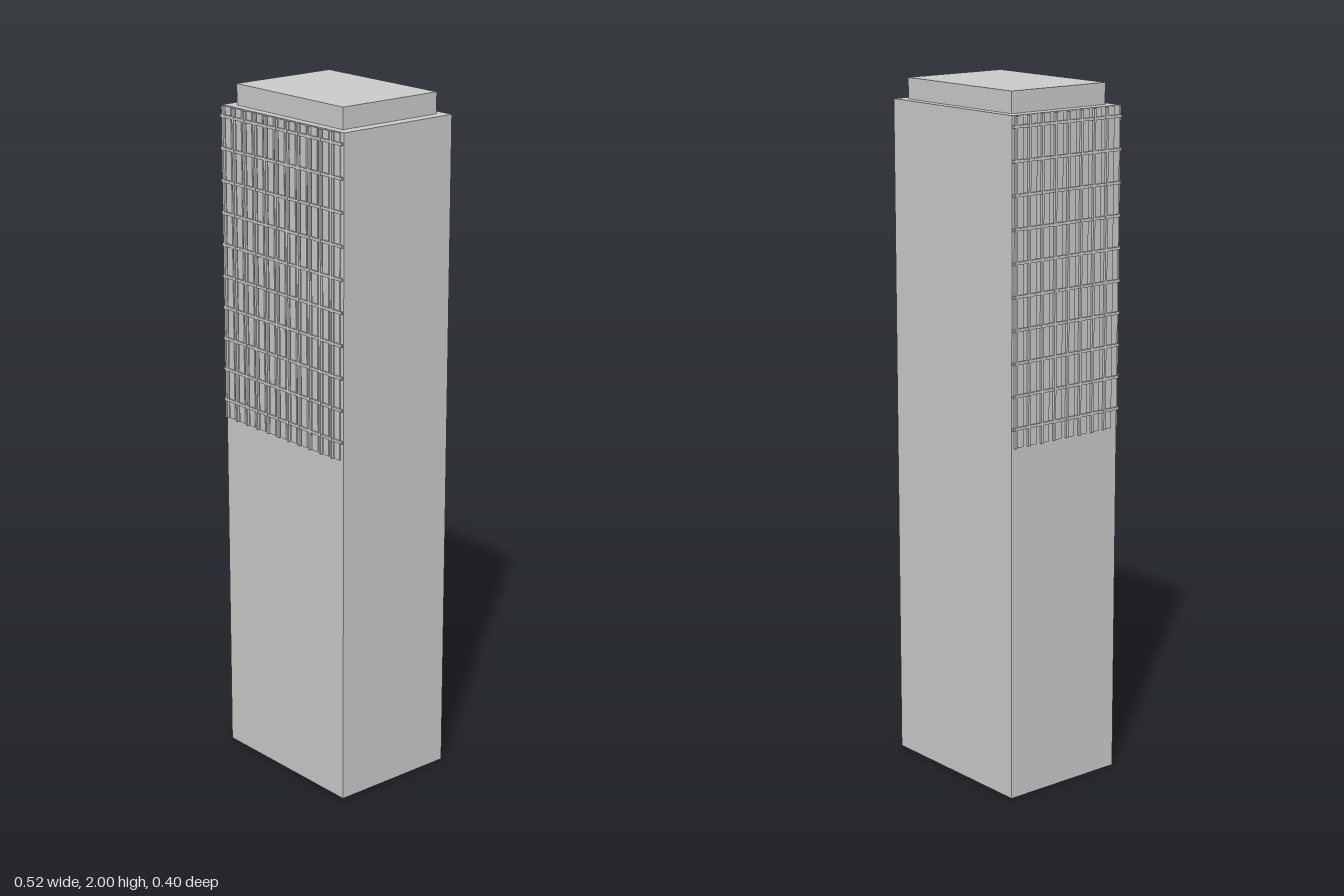
import * as THREE from 'three';

const material = new THREE.MeshStandardMaterial({ color: 0xcccccc, flatShading: true });

// Box given by its minimum and maximum corners
function box(name, min, max) {
  const size = max.map((v, i) => v - min[i]);
  const mesh = new THREE.Mesh(new THREE.BoxGeometry(...size), material);
  mesh.name = name;
  mesh.position.set(...min.map((v, i) => v + size[i] / 2));
  return mesh;
}

const BODY_MIN = [-0.253, 0, -0.2];
const BODY_MAX = [0.262, 1.94, 0.186];
const BOTTOM = 1.03, TOP = 1.938;
const BAY = 0.0462, ROW = 0.0917;

// Facade lattice: starts at local x = 0, and stands out from the wall along +z
function lattice(name, width, fins) {
  const group = new THREE.Group();
  group.name = name;
  for (let i = 0; i < fins; i++) {
    const x = 0.01 + i * BAY;
    group.add(box('verticalFin', [x - 0.0035, BOTTOM, 0.0025], [x + 0.0035, TOP, 0.0095]));
    group.add(box('windowStrip', [x + 0.006, BOTTOM, -0.001], [x + 0.03, TOP, 0.003]));
  }
  for (let j = 0; j < 10; j++) {
    const y = 1.085 + j * ROW;
    group.add(box('horizontalRail', [0, y - 0.004, 0.0035], [width, y + 0.004, 0.0085]));
  }
  return group;
}

export function createModel() {
  const model = new THREE.Group();
  model.name = 'tower';

  // Main shaft and roof block
  model.add(box('towerBody', BODY_MIN, BODY_MAX));
  model.add(box('roofBlock', [-0.22, 1.94, -0.174], [0.229, 2, 0.161]));

  // Front lattice
  const front = lattice('frontLattice', BODY_MAX[0] - BODY_MIN[0], 11);
  front.position.set(BODY_MIN[0], 0, BODY_MAX[2]);
  model.add(front);

  // Side lattice, turned to face -x
  const side = lattice('sideLattice', BODY_MAX[2] - BODY_MIN[2], 8);
  side.rotation.y = -Math.PI / 2;
  side.position.set(BODY_MIN[0], 0, BODY_MIN[2]);
  model.add(side);

  return model;
}
